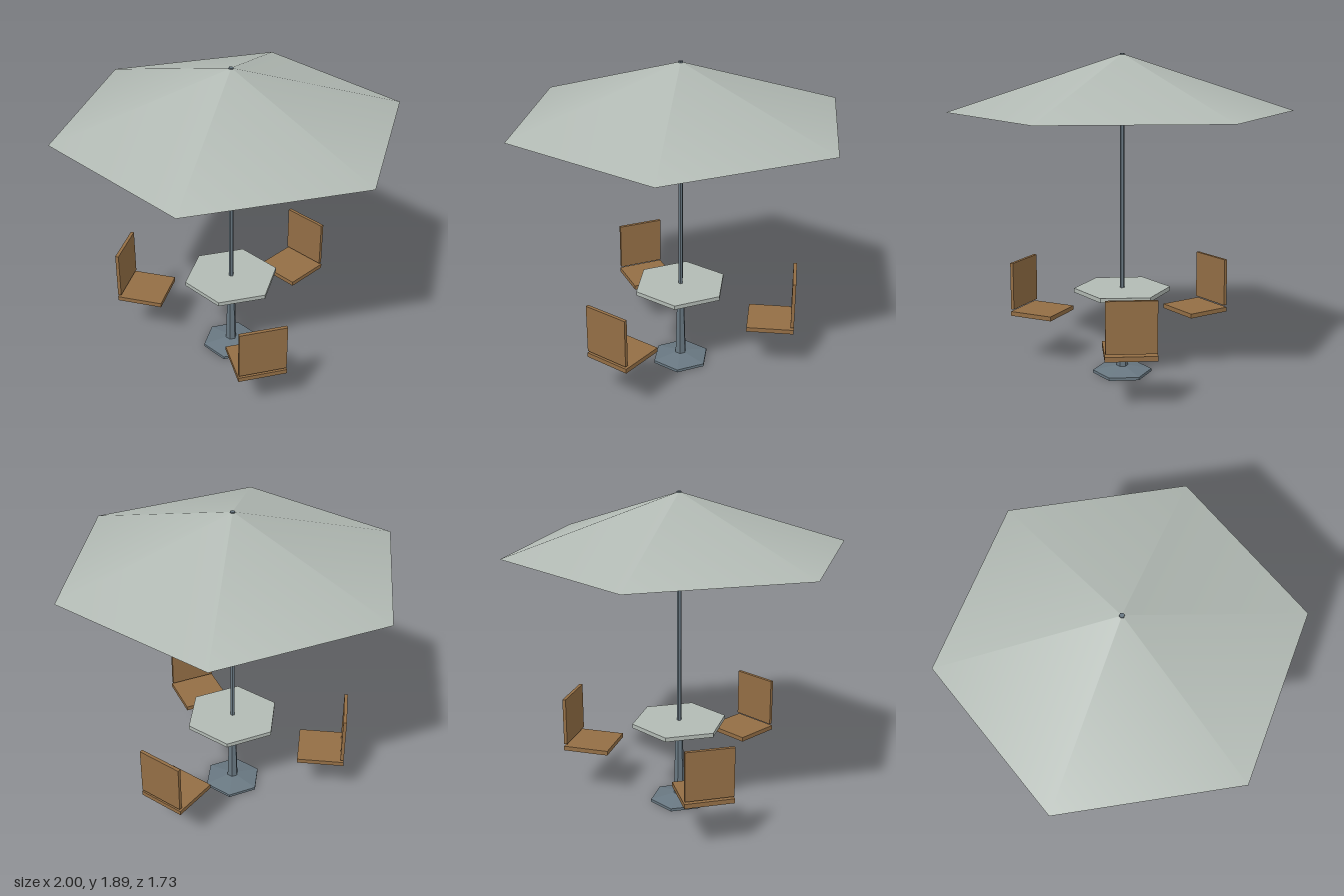
import * as THREE from 'three';

// Hexagonal solids have corners on the x axis
const HEX_START = Math.PI / 2;

// Split vertices so every face is shaded flat
function flat(geometry) {
  const g = geometry.toNonIndexed();
  g.computeVertexNormals();
  return g;
}

// Hexagonal lathe from [radius, y] points listed bottom to top
function hexLathe(points) {
  const profile = points.map(([r, y]) => new THREE.Vector2(r, y));
  return flat(new THREE.LatheGeometry(profile, 6, HEX_START));
}

function hexPrism(rTop, rBottom, y0, y1) {
  const g = new THREE.CylinderGeometry(rTop, rBottom, y1 - y0, 6, 1, false, HEX_START);
  g.translate(0, (y0 + y1) / 2, 0);
  return flat(g);
}

export function createModel() {
  const model = new THREE.Group();
  model.name = 'parasolTable';

  const fabric = new THREE.MeshStandardMaterial({ color: 0xb2bab4, side: THREE.DoubleSide });
  fabric.name = 'paleGrey';
  const metal = new THREE.MeshStandardMaterial({ color: 0x687781, side: THREE.DoubleSide });
  metal.name = 'blueGreyMetal';
  const wood = new THREE.MeshStandardMaterial({ color: 0x936e45 });
  wood.name = 'brownWood';

  const add = (name, geometry, material, parent = model) => {
    const mesh = new THREE.Mesh(geometry, material);
    mesh.name = name;
    parent.add(mesh);
    return mesh;
  };

  // Open, softly shaded canopy
  const canopy = new THREE.CylinderGeometry(0.002, 1, 0.327, 6, 1, true, HEX_START);
  canopy.translate(0, 1.7265, 0);
  add('canopy', canopy, fabric);

  // Table top
  add('tableTop', hexPrism(0.285, 0.285, 0.5, 0.525), fabric);

  // Foot with a small opening underneath, tapered column and flared collar
  add('foot', hexLathe([[0.025, 0], [0.176, 0], [0.176, 0.017], [0.03, 0.045]]), metal);
  add('column', hexLathe([[0.034, 0.035], [0.021, 0.486]]), metal);
  add('collar', hexLathe([[0.021, 0.486], [0.052, 0.5]]), metal);

  // Parasol pole, its tip just piercing the canopy
  add('pole', hexPrism(0.014, 0.014, 0.48, 1.893), metal);

  // Three chairs spaced evenly around the table
  for (let i = 0; i < 3; i++) {
    const chair = new THREE.Group();
    chair.name = 'chair' + (i + 1);
    add('seat', new THREE.BoxGeometry(0.285, 0.027, 0.28), wood, chair).position.set(0, 0.313, -0.55);
    add('backrest', new THREE.BoxGeometry(0.278, 0.29, 0.02), wood, chair).position.set(0, 0.485, -0.68);
    chair.rotation.y = (i * Math.PI * 2) / 3;
    model.add(chair);
  }

  return model;
}
